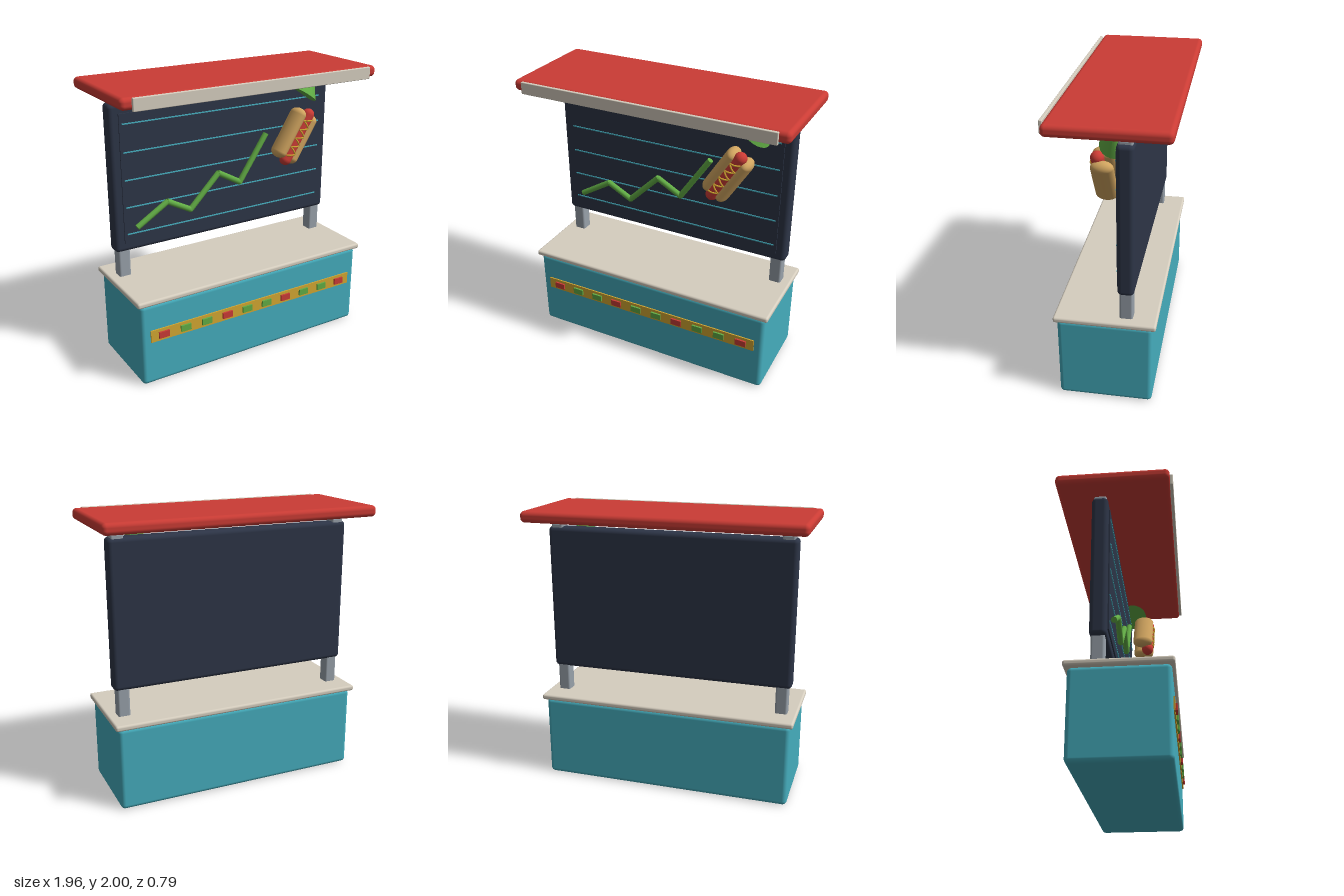
import * as THREE from 'three';
import { RoundedBoxGeometry } from 'three/addons/geometries/RoundedBoxGeometry.js';

const material = (name, color) => {
  const m = new THREE.MeshStandardMaterial({ color });
  m.name = name;
  return m;
};

export function createModel() {
  const root = new THREE.Group();
  root.name = 'foodStand';

  const teal = material('teal', 0x45adbd);
  const cream = material('cream', 0xd6cebf);
  const steel = material('steel', 0x98a1aa);
  const navy = material('navy', 0x2d3547);
  const red = material('red', 0xcb3c35);
  const green = material('green', 0x62ad45);
  const yellow = material('yellow', 0xd4a832);
  const bunTan = material('bunTan', 0xd0a45f);

  const add = (name, geometry, mat, x = 0, y = 0, z = 0, parent = root) => {
    const mesh = new THREE.Mesh(geometry, mat);
    mesh.name = name;
    mesh.position.set(x, y, z);
    parent.add(mesh);
    return mesh;
  };
  // Box given by its extents; a radius rounds the edges
  const block = (name, mat, [x0, x1], [y0, y1], [z0, z1], radius = 0) => {
    const s = [x1 - x0, y1 - y0, z1 - z0];
    const g = radius ? new RoundedBoxGeometry(...s, 4, radius) : new THREE.BoxGeometry(...s);
    return add(name, g, mat, (x0 + x1) / 2, (y0 + y1) / 2, (z0 + z1) / 2);
  };

  // Counter and worktop
  block('counter', teal, [-0.907, 0.907], [0, 0.602], [-0.28, 0.355], 0.03);
  block('countertop', cream, [-0.93, 0.93], [0.6, 0.64], [-0.305, 0.375], 0.015);

  // Light strip with ten lamps
  block('lightStrip', yellow, [-0.842, 0.842], [0.323, 0.411], [0.345, 0.364]);
  for (let i = 0; i < 10; i++) {
    const x = (i - 4.5) * 0.166;
    block('lamp', i % 3 === 0 ? red : green, [x - 0.039, x + 0.039], [0.344, 0.39], [0.36, 0.377]);
  }

  // Posts, menu board and its raised face
  for (const s of [-1, 1]) {
    block('post', steel, [s * 0.82 - 0.043, s * 0.82 + 0.043], [0.62, 1.89], [-0.145, -0.057], 0.014);
  }
  block('board', navy, [-0.886, 0.886], [0.826, 1.866], [-0.155, -0.045], 0.03);
  block('boardFace', navy, [-0.82, 0.82], [0.89, 1.8], [-0.06, -0.036]);
  for (let i = 0; i < 5; i++) {
    const y = 0.957 + i * 0.1935;
    block('gridLine', teal, [-0.8, 0.8], [y - 0.004, y + 0.004], [-0.038, -0.03]);
  }

  // Roof and front fascia
  block('roof', red, [-0.98, 0.98], [1.922, 2], [-0.395, 0.375], 0.03);
  block('fascia', cream, [-0.907, 0.907], [1.916, 2], [0.373, 0.395], 0.005);

  // Rising chart line
  const up = new THREE.Vector3(0, 1, 0);
  const points = [[-0.73, 1.005], [-0.5, 1.145], [-0.32, 1.05], [-0.09, 1.28], [0.09, 1.18], [0.31, 1.507]]
    .map(([x, y]) => new THREE.Vector3(x, y, -0.014));
  for (let i = 1; i < points.length; i++) {
    const dir = points[i].clone().sub(points[i - 1]);
    const mid = points[i].clone().add(points[i - 1]).multiplyScalar(0.5);
    const bar = add('chartLine', new THREE.CylinderGeometry(0.021, 0.021, dir.length() + 0.012, 8), green, mid.x, mid.y, mid.z);
    bar.quaternion.setFromUnitVectors(up, dir.normalize());
  }

  // Arrowhead at the end of the chart
  const head = add('arrowHead', new THREE.ConeGeometry(0.112, 0.18, 24), green, 0.678, 1.842, -0.012);
  head.rotation.z = -0.595;

  // Hot dog, tilted along the chart
  const hotDog = new THREE.Group();
  hotDog.name = 'hotDog';
  hotDog.position.set(0.488, 1.493, 0.09);
  hotDog.rotation.z = -0.56;
  root.add(hotDog);
  for (const s of [-1, 1]) {
    const bun = add('bun', new THREE.CapsuleGeometry(0.046, 0.3, 8, 20), bunTan, s * 0.056, 0, 0, hotDog);
    bun.scale.z = 1.65;
  }
  add('sausage', new THREE.CapsuleGeometry(0.044, 0.36, 8, 20), red, 0, 0, 0.035, hotDog);

  // Mustard zigzag hugging the sausage
  const path = new THREE.CurvePath();
  const zig = Array.from({ length: 37 }, (_, i) => {
    const phase = (i / 4) % 2;
    const x = 0.032 * (phase < 1 ? 2 * phase - 1 : 3 - 2 * phase);
    return new THREE.Vector3(x, -0.155 + (i / 36) * 0.31, 0.036 + Math.sqrt(0.045 ** 2 - x * x));
  });
  for (let i = 1; i < zig.length; i++) path.add(new THREE.LineCurve3(zig[i - 1], zig[i]));
  add('mustard', new THREE.TubeGeometry(path, 144, 0.006, 6), yellow, 0, 0, 0, hotDog);

  return root;
}
